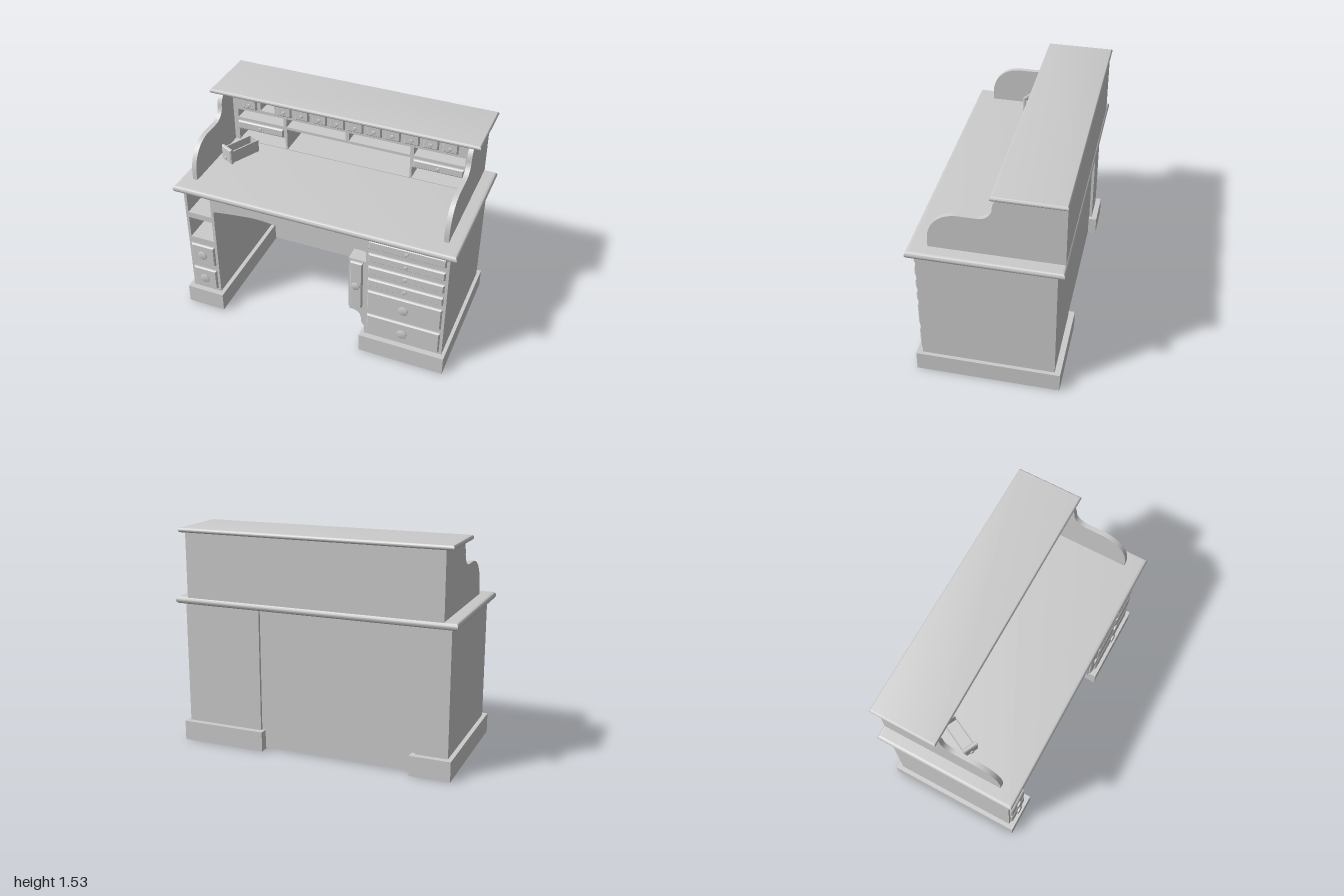
import * as THREE from 'three';
import { toCreasedNormals } from 'three/addons/utils/BufferGeometryUtils.js';

const material = new THREE.MeshStandardMaterial({ color: 0xcccccc, side: THREE.DoubleSide });

function add(parent, name, geometry, x = 0, y = 0, z = 0) {
  const mesh = new THREE.Mesh(geometry, material);
  mesh.name = name;
  mesh.position.set(x, y, z);
  parent.add(mesh);
  return mesh;
}

// Box given by its limits on each axis
function box(parent, name, x0, x1, y0, y1, z0, z1) {
  return add(parent, name, new THREE.BoxGeometry(x1 - x0, y1 - y0, z1 - z0),
    (x0 + x1) / 2, (y0 + y1) / 2, (z0 + z1) / 2);
}

function rect(x0, x1, y0, y1, Type = THREE.Shape) {
  const points = [[x0, y0], [x1, y0], [x1, y1], [x0, y1]].map(p => new THREE.Vector2(...p));
  return new Type(points);
}

// Rectangle in the xy plane with rounded or chamfered rims, from z = 0 to depth
function slab(x0, x1, y0, y1, depth, bevel, segments) {
  const geometry = new THREE.ExtrudeGeometry(
    rect(x0 + bevel, x1 - bevel, y0 + bevel, y1 - bevel),
    { depth: depth - 2 * bevel, bevelSize: bevel, bevelThickness: bevel, bevelSegments: segments });
  geometry.translate(0, 0, bevel);
  return toCreasedNormals(geometry, 0.6);
}

// Horizontal board with mitred bullnose edges
function board(parent, name, x0, x1, z0, z1, y0, y1) {
  const geometry = slab(x0, x1, -z1, -z0, y1 - y0, (y1 - y0) * 0.47, 6);
  geometry.rotateX(-Math.PI / 2);
  add(parent, name, geometry, 0, y0, 0);
}

// Upright block pierced by rectangular openings
function frame(parent, name, outline, openings, z0, z1) {
  const shape = rect(...outline);
  shape.holes = openings.map(o => rect(...o, THREE.Path));
  add(parent, name, new THREE.ExtrudeGeometry(shape, { depth: z1 - z0, bevelEnabled: false }), 0, 0, z0);
}

// Turned knob facing +z
function knob(parent, x, y, z, r, length) {
  const profile = [[r * 0.6, 0], [r * 0.6, 0.4], [r, 0.55], [r, 0.8], [r * 0.8, 1], [0, 1]]
    .map(([a, b]) => new THREE.Vector2(a, b * length));
  const geometry = new THREE.LatheGeometry(profile, 20);
  geometry.rotateX(Math.PI / 2);
  add(parent, 'knob', toCreasedNormals(geometry, 0.6), x, y, z);
}

// Drawer front with chamfered rim and a knob; z is the carcass face
function drawer(parent, name, x0, x1, y0, y1, z, r, knobY = (y0 + y1) / 2) {
  const group = new THREE.Group();
  group.name = name;
  add(group, 'drawerFront', slab(x0, x1, y0, y1, 0.028, 0.008, 1), 0, 0, z - 0.01);
  knob(group, (x0 + x1) / 2, knobY, z + 0.018, r, r > 0.02 ? 0.015 : 0.01);
  parent.add(group);
}

export function createModel() {
  const desk = new THREE.Group();
  desk.name = 'rollTopDesk';

  // Plinths
  box(desk, 'rightPlinth', -0.98, -0.70, 0, 0.14, -0.49, 0.49);
  box(desk, 'leftPlinth', 0.365, 0.975, 0, 0.14, -0.49, 0.49);

  // Narrow pedestal: two empty bays above two drawers
  frame(desk, 'rightPedestal', [-0.95, -0.73, 0.14, 1.005],
    [[-0.93, -0.75, 0.60, 0.77], [-0.93, -0.75, 0.815, 0.98]], -0.43, 0.45);
  box(desk, 'rightPedestalBack', -0.95, -0.73, 0.14, 1.005, -0.45, -0.43);
  for (const y of [0.17, 0.385]) drawer(desk, 'rightDrawer', -0.93, -0.75, y, y + 0.162, 0.45, 0.035);

  // Wide pedestal with six drawers
  box(desk, 'leftPedestal', 0.39, 0.95, 0.14, 1.005, -0.45, 0.45);
  for (const y of [0.595, 0.702, 0.81, 0.917]) drawer(desk, 'shallowDrawer', 0.41, 0.93, y, y + 0.066, 0.45, 0.015);
  for (const y of [0.163, 0.378]) drawer(desk, 'deepDrawer', 0.41, 0.93, y, y + 0.174, 0.45, 0.035);

  // Slim upright drawer on a scrolled bracket beside the wide pedestal
  box(desk, 'sideBox', 0.27, 0.39, 0.36, 0.785, 0.35, 0.45);
  drawer(desk, 'uprightDrawer', 0.285, 0.372, 0.377, 0.77, 0.45, 0.03);
  const bracket = new THREE.Shape();
  bracket.moveTo(0.39, 0.36);
  bracket.lineTo(0.275, 0.36);
  bracket.lineTo(0.28, 0.335);
  bracket.bezierCurveTo(0.34, 0.34, 0.365, 0.31, 0.365, 0.25);
  bracket.quadraticCurveTo(0.367, 0.225, 0.39, 0.205);
  add(desk, 'bracket', new THREE.ExtrudeGeometry(bracket, { depth: 0.02, bevelEnabled: false }), 0, 0, 0.43);

  // Kneehole back and wavy apron
  box(desk, 'kneeholeBack', -0.73, 0.39, 0.01, 1.005, -0.43, -0.41);
  const apron = new THREE.Shape();
  apron.moveTo(0.39, 1.005);
  apron.lineTo(-0.73, 1.005);
  apron.lineTo(-0.73, 0.87);
  apron.splineThru([[-0.58, 0.89], [-0.42, 0.905], [-0.27, 0.895], [-0.165, 0.88],
    [-0.06, 0.895], [0.08, 0.905], [0.24, 0.89], [0.39, 0.87]].map(p => new THREE.Vector2(...p)));
  add(desk, 'apron', new THREE.ExtrudeGeometry(apron, { depth: 0.02, bevelEnabled: false, curveSegments: 5 }), 0, 0, 0.43);

  // Writing surface and top board
  board(desk, 'desktop', -1, 1, -0.5, 0.5, 1.0, 1.05);
  board(desk, 'topBoard', -0.96, 0.96, -0.5, -0.035, 1.494, 1.527);

  // Curved side panels and back of the upper part
  const side = new THREE.Shape();
  side.moveTo(-0.465, 1.045);
  side.lineTo(0.374, 1.045);
  side.lineTo(0.374, 1.10);
  side.bezierCurveTo(0.374, 1.23, 0.29, 1.316, 0.17, 1.316);
  side.lineTo(0.06, 1.316);
  side.bezierCurveTo(0.0, 1.316, -0.038, 1.36, -0.038, 1.405);
  side.bezierCurveTo(-0.04, 1.455, -0.07, 1.492, -0.12, 1.496);
  side.lineTo(-0.465, 1.496);
  const sideGeometry = new THREE.ExtrudeGeometry(side, { depth: 0.033, bevelEnabled: false, curveSegments: 14 });
  sideGeometry.rotateY(-Math.PI / 2);
  const sidePanel = toCreasedNormals(sideGeometry, 0.6);
  add(desk, 'leftSidePanel', sidePanel, 0.91);
  add(desk, 'rightSidePanel', sidePanel, -0.877);
  box(desk, 'upperBack', -0.91, 0.91, 1.045, 1.496, -0.49, -0.465);

  // Pigeonhole cabinet: lower bays, four cubbies and one empty drawer slot
  const front = -0.2, cell = i => -0.74 + i * 0.1335;
  frame(desk, 'pigeonholes', [-0.877, 0.877, 1.045, 1.457], [
    [-0.84, -0.475, 1.055, 1.145], [-0.46, 0.455, 1.055, 1.22], [0.47, 0.835, 1.055, 1.145],
    [-0.84, -0.485, 1.24, 1.305], [-0.462, -0.018, 1.24, 1.305],
    [0.008, 0.452, 1.24, 1.305], [0.478, 0.835, 1.24, 1.305],
    [cell(1) - 0.053, cell(1) + 0.053, 1.33, 1.447],
  ], -0.465, front);
  for (let i = 0; i < 12; i++) {
    if (i !== 1) drawer(desk, 'smallDrawer', cell(i) - 0.053, cell(i) + 0.053, 1.33, 1.447, front, 0.015, 1.365);
  }
  for (const x of [-0.838, 0.48]) drawer(desk, 'letterDrawer', x, x + 0.353, 1.155, 1.217, front, 0.015);

  // Small open drawer left standing on the writing surface
  const loose = new THREE.Group();
  loose.name = 'looseDrawer';
  drawer(loose, 'looseDrawerFront', -0.053, 0.053, 0, 0.115, -0.018, 0.015, 0.035);
  box(loose, 'looseDrawerBottom', -0.046, 0.046, 0.003, 0.012, -0.25, -0.02);
  box(loose, 'looseDrawerBack', -0.046, 0.046, 0.003, 0.095, -0.25, -0.241);
  for (const s of [-1, 1]) {
    box(loose, 'looseDrawerSide', s * 0.0415 - 0.0045, s * 0.0415 + 0.0045, 0.003, 0.095, -0.25, -0.02);
  }
  loose.position.set(-0.795, 1.051, 0.1);
  loose.rotation.y = -0.464;
  desk.add(loose);

  return desk;
}
